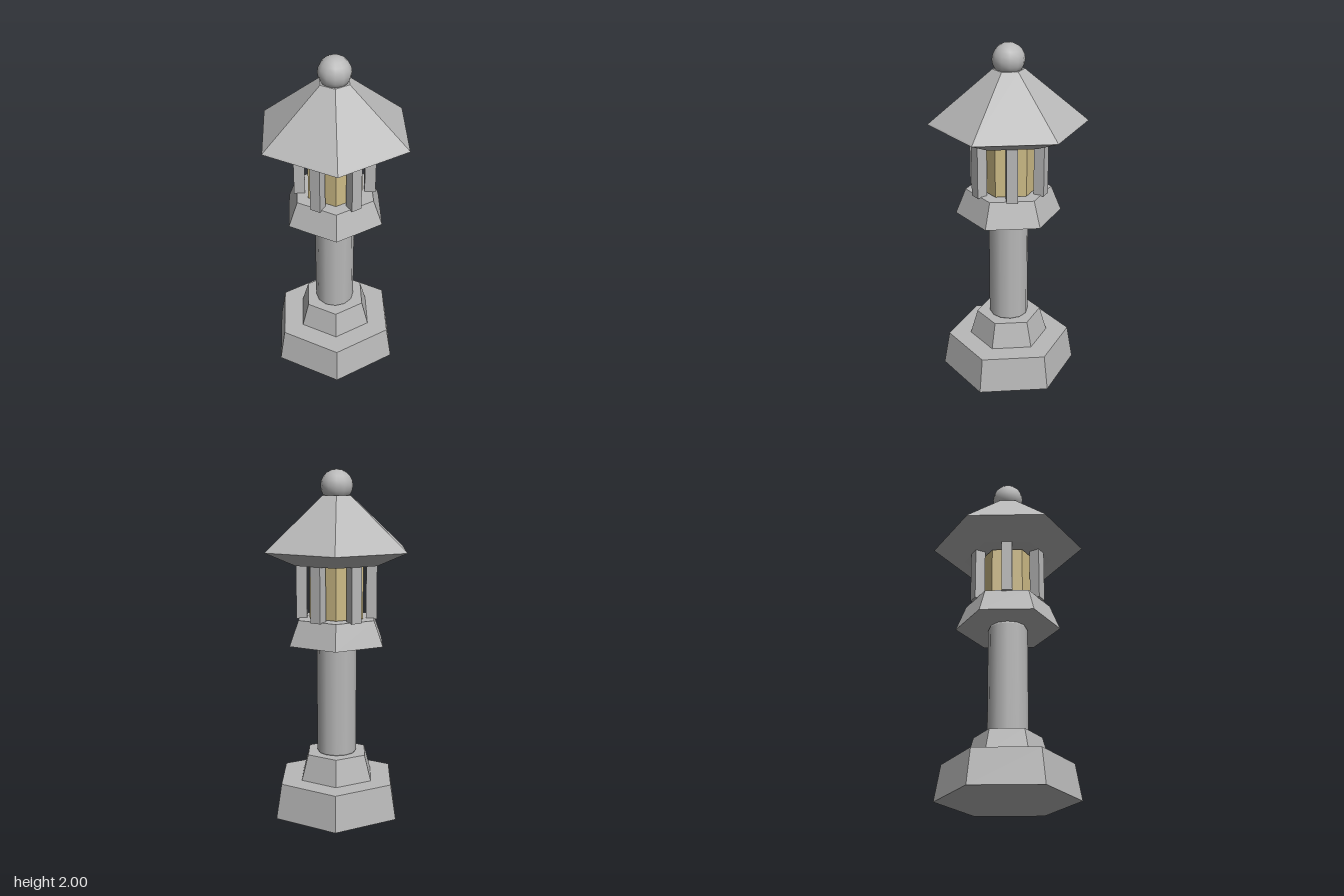
import * as THREE from 'three';

export function createModel() {
  const model = new THREE.Group();
  model.name = 'stoneLantern';

  const stone = new THREE.MeshStandardMaterial({ color: 0xb8b8b8 });
  stone.name = 'stone grey';
  const glow = new THREE.MeshStandardMaterial({ color: 0xcdbb86 });
  glow.name = 'warm paper';

  const add = (name, geometry, material = stone) => {
    const mesh = new THREE.Mesh(geometry, material);
    mesh.name = name;
    model.add(mesh);
    return mesh;
  };

  // Tapered prism between two heights; hexagons have corners at +z and -z
  const prism = (name, y0, y1, r0, r1, { sides = 6, smooth = false, material = stone } = {}) => {
    let g = new THREE.CylinderGeometry(r1, r0, y1 - y0, sides);
    if (!smooth) {
      g = g.toNonIndexed();
      g.computeVertexNormals();
    }
    return add(name, g.translate(0, (y0 + y1) / 2, 0), material);
  };

  // Stepped foot
  prism('baseLower', 0, 0.205, 0.4, 0.365);
  prism('baseUpper', 0.205, 0.355, 0.233, 0.19);

  // Round shaft with small chamfers at both ends
  const round = { sides: 12, smooth: true };
  prism('shaftFoot', 0.35, 0.362, 0.109, 0.115, round);
  prism('shaft', 0.362, 1.005, 0.115, 0.115, round);
  prism('shaftHead', 1.005, 1.017, 0.115, 0.109, round);

  // Platform carrying the fire box
  prism('platform', 1.015, 1.16, 0.305, 0.247);

  // Glowing core
  prism('lampCore', 1.165, 1.462, 0.175, 0.175, { material: glow });

  // Ring of square posts, one facing each side of the hexagon
  for (let i = 0; i < 6; i++) {
    const a = Math.PI / 6 + (i * Math.PI) / 3;
    const post = add('post' + (i + 1), new THREE.BoxGeometry(0.062, 0.315, 0.062));
    post.position.set(Math.sin(a) * 0.2, 1.3125, Math.cos(a) * 0.2);
    post.rotation.y = a;
  }

  // Roof: soffit, thin eave lip and steep top
  prism('roofSoffit', 1.47, 1.55, 0.264, 0.45);
  prism('roofEave', 1.55, 1.557, 0.45, 0.444);
  prism('roofTop', 1.557, 1.855, 0.444, 0.09);

  // Ball finial
  add('finial', new THREE.SphereGeometry(0.092, 12, 10).translate(0, 1.908, 0));

  return model;
}
